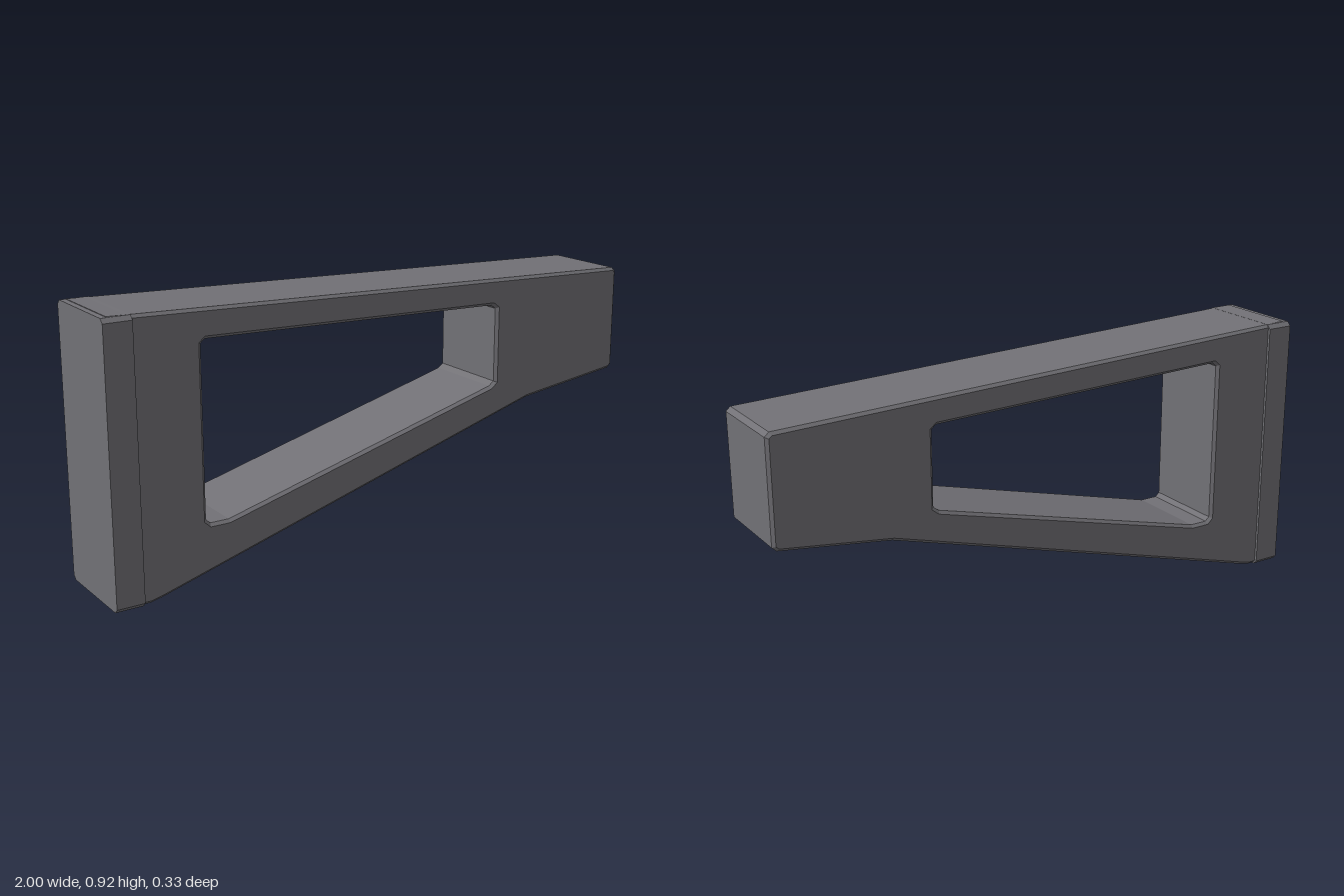
import * as THREE from 'three';

const toPoints = (list) => list.map(([x, y]) => new THREE.Vector2(x, y));

// Solid centred on z = 0 whose chamfered edges stay inside the outline
function chamferedSlab(shape, halfDepth, chamfer) {
  const geometry = new THREE.ExtrudeGeometry(shape, {
    depth: 2 * (halfDepth - chamfer),
    bevelEnabled: true,
    bevelSegments: 1,
    bevelThickness: chamfer,
    bevelSize: chamfer,
    bevelOffset: -chamfer,
  });
  geometry.translate(0, 0, chamfer - halfDepth);
  return geometry;
}

export function createModel() {
  const group = new THREE.Group();
  group.name = 'bracket';
  const darkGrey = new THREE.MeshStandardMaterial({ color: 0x727176 });
  darkGrey.name = 'darkGrey';
  darkGrey.flatShading = true;

  // Tapering arm with a sloped window
  const arm = new THREE.Shape(toPoints([
    [-0.98, 0.003], [-0.88, 0.003], [-0.84, 0.012], [0.6, 0.432], [0.985, 0.483],
    [1, 0.497], [1, 0.843], [0.985, 0.857], [-0.98, 0.92],
  ]));
  arm.holes.push(new THREE.Path(toPoints([
    [-0.68, 0.235], [-0.68, 0.8], [-0.665, 0.813], [0.435, 0.783], [0.452, 0.77],
    [0.452, 0.512], [0.433, 0.497], [-0.6, 0.221], [-0.665, 0.221],
  ])));
  const armMesh = new THREE.Mesh(chamferedSlab(arm, 0.158, 0.01), darkGrey);
  armMesh.name = 'arm';
  group.add(armMesh);

  // Mounting plate: octagonal section in z and y, run along x
  const w = 0.167, c = 0.014, top = 0.918;
  const section = new THREE.Shape(toPoints([
    [-w + c, 0], [w - c, 0], [w, c], [w, top - c],
    [w - c, top], [-w + c, top], [-w, top - c], [-w, c],
  ]));
  const plate = new THREE.ExtrudeGeometry(section, { depth: 0.095, bevelEnabled: false });
  plate.rotateY(Math.PI / 2).translate(-1, 0, 0);
  const plateMesh = new THREE.Mesh(plate, darkGrey);
  plateMesh.name = 'mountingPlate';
  group.add(plateMesh);

  return group;
}
